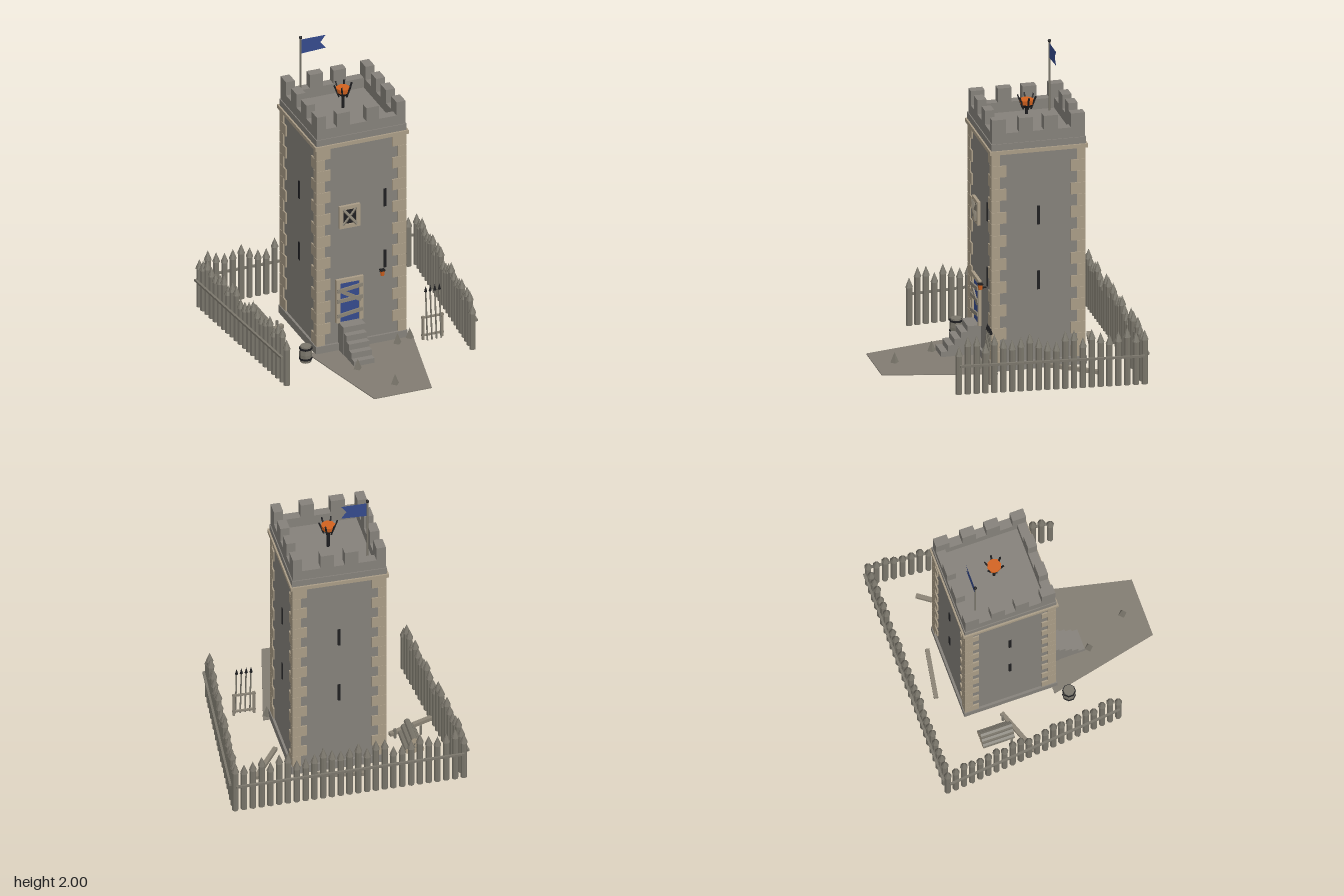
import * as THREE from 'three';

const mat = (name, color) => Object.assign(new THREE.MeshStandardMaterial({ color, flatShading: true }), { name });
const V = (x, y, z) => new THREE.Vector3(x, y, z);

export function createModel() {
  const stone = mat('stone', 0x85817a), quoin = mat('pale stone', 0xa99c86), wood = mat('weathered wood', 0x7a766b);
  const plank = mat('plank', 0x8a8375), iron = mat('iron', 0x1e1e20), orange = mat('ember', 0xd2621f);
  const earth = mat('earth', 0x827c72), blue = mat('blue', 0x354a8c);
  blue.side = THREE.DoubleSide;

  const root = new THREE.Group();
  root.name = 'watchtower';
  const group = (name, z = 0) => {
    const g = new THREE.Group();
    g.name = name;
    g.position.z = z;
    root.add(g);
    return g;
  };
  const add = (parent, name, geo, m, x, y, z) => {
    const mesh = new THREE.Mesh(geo, m);
    mesh.name = name;
    mesh.position.set(x, y, z);
    parent.add(mesh);
    return mesh;
  };
  // box given by its centre in x and z and its bottom and top in y
  const block = (p, name, m, w, d, y0, y1, x = 0, z = 0) =>
    add(p, name, new THREE.BoxGeometry(w, y1 - y0, d), m, x, (y0 + y1) / 2, z);
  const cyl = (p, name, m, r0, r1, y0, y1, x, z, n = 8) =>
    add(p, name, new THREE.CylinderGeometry(r1, r0, y1 - y0, n), m, x, (y0 + y1) / 2, z);
  // straight bar between two points
  const bar = (p, name, m, a, b, w, h) => {
    const o = add(p, name, new THREE.BoxGeometry(w, h, a.distanceTo(b)), m, 0, 0, 0);
    o.position.copy(a).add(b).multiplyScalar(0.5);
    o.quaternion.setFromUnitVectors(V(0, 0, 1), b.clone().sub(a).normalize());
    if (Math.abs(b.y - a.y) < 1e-6) o.rotation.set(0, Math.atan2(b.x - a.x, b.z - a.z), 0);
    return o;
  };

  // tower walls, centred on its own group
  const tower = group('tower', -0.19);
  block(tower, 'plinth', stone, 0.62, 0.62, 0, 0.055);
  block(tower, 'walls', stone, 0.59, 0.59, 0.055, 1.455);
  block(tower, 'stringCourse', quoin, 0.634, 0.634, 1.453, 1.478);
  block(tower, 'cornice', stone, 0.612, 0.612, 1.478, 1.522);

  // cornerstones with alternating long and short sides
  const rows = 18, h = (1.453 - 0.055) / rows;
  for (const sx of [-1, 1]) for (const sz of [-1, 1]) for (let i = 0; i < rows; i++) {
    const w = i % 2 ? 0.095 : 0.055, d = i % 2 ? 0.055 : 0.095;
    block(tower, 'cornerstone', quoin, w, d, 0.055 + i * h, 0.055 + (i + 1) * h - 0.002,
      sx * (0.304 - w / 2), sz * (0.304 - d / 2));
  }

  // parapet and merlons
  for (const s of [-1, 1]) {
    block(tower, 'parapet', stone, 0.06, 0.6, 1.522, 1.59, s * 0.27, 0);
    block(tower, 'parapet', stone, 0.48, 0.06, 1.522, 1.59, 0, s * 0.27);
    for (const z of [-0.255, -0.08, 0.08, 0.255]) block(tower, 'merlon', stone, 0.06, 0.09, 1.59, 1.683, s * 0.27, z);
  }
  for (const [x0, x1, z] of [[-0.165, -0.075, 0.27], [0.035, 0.12, 0.27], [-0.125, -0.035, -0.27], [0.035, 0.12, -0.27]])
    block(tower, 'merlon', stone, x1 - x0, 0.06, 1.59, 1.683, (x0 + x1) / 2, z);

  // arrow slits
  for (const y of [0.525, 0.96]) {
    block(tower, 'arrowSlit', iron, 0.018, 0.008, y, y + 0.125, 0.162, 0.296);
    block(tower, 'arrowSlit', iron, 0.018, 0.008, y, y + 0.125, 0, -0.296);
    for (const s of [-1, 1]) block(tower, 'arrowSlit', iron, 0.008, 0.018, y, y + 0.125, s * 0.296, 0);
  }

  // framed openings: stone border around a thin panel
  const opening = (name, m, x0, x1, y0, y1, t, sill) => {
    const g = group(name), x = (x0 + x1) / 2;
    for (const e of [x0 + t / 2, x1 - t / 2]) block(g, 'jamb', quoin, t, 0.025, y0, y1, e, 0.112);
    block(g, 'lintel', quoin, x1 - x0 - 2 * t, 0.025, y1 - t, y1, x, 0.112);
    if (sill) block(g, 'sill', quoin, x1 - x0 - 2 * t, 0.025, y0, y0 + t, x, 0.112);
    block(g, 'panel', m, x1 - x0 - 2 * t, 0.008, y0, y1 - t, x, 0.109);
    return g;
  };
  const win = opening('window', iron, -0.153, -0.012, 0.865, 1.022, 0.026, true);
  bar(win, 'windowBoard', plank, V(-0.128, 0.888, 0.123), V(-0.038, 1.0, 0.123), 0.018, 0.01);
  bar(win, 'windowBoard', plank, V(-0.128, 1.0, 0.127), V(-0.038, 0.888, 0.127), 0.018, 0.01);
  const door = opening('door', blue, -0.175, 0.01, 0.2, 0.505, 0.027, false);
  for (const [a, b] of [[0.427, 0.447], [0.44, 0.335], [0.355, 0.365], [0.25, 0.275]]) {
    const o = block(door, 'doorBoard', plank, 0.172, 0.01, -0.012, 0.012, -0.083, 0.128);
    o.position.y = (a + b) / 2;
    o.rotation.z = Math.atan2(b - a, 0.165);
  }

  // steps up to the door
  const steps = group('steps');
  block(steps, 'landing', stone, 0.15, 0.09, 0, 0.2, -0.08, 0.145);
  for (let i = 0; i < 4; i++) block(steps, 'step', stone, 0.138, 0.0425, 0, 0.16 - i * 0.04, -0.082, 0.211 + i * 0.0425);

  // wall torch
  const torch = group('torch');
  cyl(torch, 'torchFire', orange, 0.012, 0.017, 0.492, 0.525, 0.13, 0.143);
  block(torch, 'torchRim', iron, 0.032, 0.03, 0.525, 0.533, 0.13, 0.143);
  block(torch, 'torchBracket', iron, 0.01, 0.045, 0.5, 0.508, 0.13, 0.12);

  // roof brazier
  const brazier = group('brazier', -0.19);
  cyl(brazier, 'brazierPost', iron, 0.01, 0.01, 1.522, 1.65, 0, 0);
  cyl(brazier, 'brazierBowl', iron, 0.02, 0.042, 1.635, 1.66, 0, 0);
  cyl(brazier, 'embers', orange, 0.042, 0.046, 1.66, 1.69, 0, 0);
  for (let i = 0; i < 6; i++) {
    const c = Math.cos(i * Math.PI / 3), s = Math.sin(i * Math.PI / 3);
    bar(brazier, 'brazierBar', iron, V(c * 0.028, 1.63, s * 0.028), V(c * 0.06, 1.715, s * 0.06), 0.009, 0.009);
  }

  // flag with a swallowtail
  const flag = group('flag');
  cyl(flag, 'flagPole', wood, 0.006, 0.006, 1.522, 1.98, -0.205, -0.39);
  add(flag, 'flagFinial', new THREE.SphereGeometry(0.011, 8, 6), iron, -0.205, 1.988, -0.39);
  const cloth = new THREE.Shape([[0, 0], [0.165, 0.008], [0.13, 0.055], [0.165, 0.1], [0, 0.1]].map(p => new THREE.Vector2(...p)));
  add(flag, 'flagCloth', new THREE.ShapeGeometry(cloth), blue, -0.2, 1.873, -0.39);

  // approach path
  const trap = new THREE.Shape([[-0.355, -0.085], [-0.195, -0.798], [0.195, -0.798], [0.355, -0.085]].map(p => new THREE.Vector2(...p)));
  const path = add(root, 'path', new THREE.ExtrudeGeometry(trap, { depth: 0.006, bevelEnabled: false }), earth, 0, 0, 0);
  path.rotation.x = -Math.PI / 2;

  // palisade on three sides, with rails outside
  const fence = group('palisade');
  const tops = [0.32, 0.385, 0.385, 0.335, 0.385, 0.36, 0.345, 0.36, 0.385, 0.35, 0.325];
  const post = (x, z, i) => {
    const top = tops[i % tops.length];
    cyl(fence, 'post', wood, 0.021, 0.021, 0, top - 0.065, x, z);
    cyl(fence, 'postTip', wood, 0.025, 0, top - 0.065, top, x, z);
  };
  for (let i = 0; i < 27; i++) post(-0.737 + i * 0.0567, -0.765, i + 3);
  for (const s of [-1, 1]) {
    for (let i = 0; i < 21; i++) post(s * (0.63 + i * 0.0052), 0.41 - i * 0.056, i);
    bar(fence, 'sideRail', wood, V(s * 0.66, 0.195, 0.41), V(s * 0.768, 0.195, -0.76), 0.015, 0.014);
  }
  bar(fence, 'backRail', wood, V(-0.735, 0.195, -0.791), V(0.735, 0.195, -0.791), 0.015, 0.014);

  // caltrop spikes
  const spikes = group('spikes');
  for (const [x, z] of [[0, 0.665], [-0.14, 0.39], [0.22, 0.17], [0.32, 0.13]]) cyl(spikes, 'spike', wood, 0.03, 0, 0, 0.075, x, z, 4);

  // loose beams
  const beams = group('beams');
  for (const [x0, z0, x1, z1] of [[-0.14, -0.627, 0.185, -0.57], [0.545, -0.515, 0.355, -0.25], [-0.68, -0.165, -0.375, -0.275]])
    bar(beams, 'beam', plank, V(x0, 0.03, z0), V(x1, 0.03, z1), 0.028, 0.024);

  // log pile with pale cut ends
  const logs = group('logPile');
  for (let r = 0; r < 3; r++) for (let i = 0; i < 3 - r; i++) {
    const geo = new THREE.CylinderGeometry(0.021, 0.021, 0.21, 8);
    const log = add(logs, 'log', geo, [wood, quoin, quoin], -0.535 + i * 0.042 + r * 0.021, 0.021 + r * 0.037, -0.355);
    log.rotation.x = Math.PI / 2;
  }
  for (const x of [-0.575, -0.41]) cyl(logs, 'logStake', wood, 0.009, 0.009, 0, 0.07, x, -0.28, 6);

  // barrel
  const barrel = group('barrel');
  const profile = [[0, 0], [0.036, 0], [0.042, 0.055], [0.036, 0.112], [0, 0.112]].map(p => new THREE.Vector2(...p));
  add(barrel, 'staves', new THREE.LatheGeometry(profile, 8, Math.PI / 8), wood, -0.4, 0, 0.165);
  for (const y of [0.025, 0.095]) add(barrel, 'hoop', new THREE.CylinderGeometry(0.043, 0.043, 0.012, 8, 1), iron, -0.4, y, 0.165)
    .rotation.y = Math.PI / 8;

  // spear rack
  const rack = group('spearRack');
  for (const x of [0.39, 0.52]) block(rack, 'rackLeg', plank, 0.014, 0.014, 0, 0.165, x, 0.18);
  for (const y of [0.03, 0.155]) bar(rack, 'rackBar', plank, V(0.38, y, 0.18), V(0.53, y, 0.18), 0.012, 0.012);
  for (let i = 0; i < 4; i++) {
    const x = 0.412 + i * 0.031;
    bar(rack, 'spearShaft', wood, V(x, 0, 0.2), V(x, 0.335, 0.171), 0.008, 0.008);
    cyl(rack, 'spearHead', iron, 0.011, 0, 0.33, 0.372, x, 0.17, 4);
  }
  return root;
}
